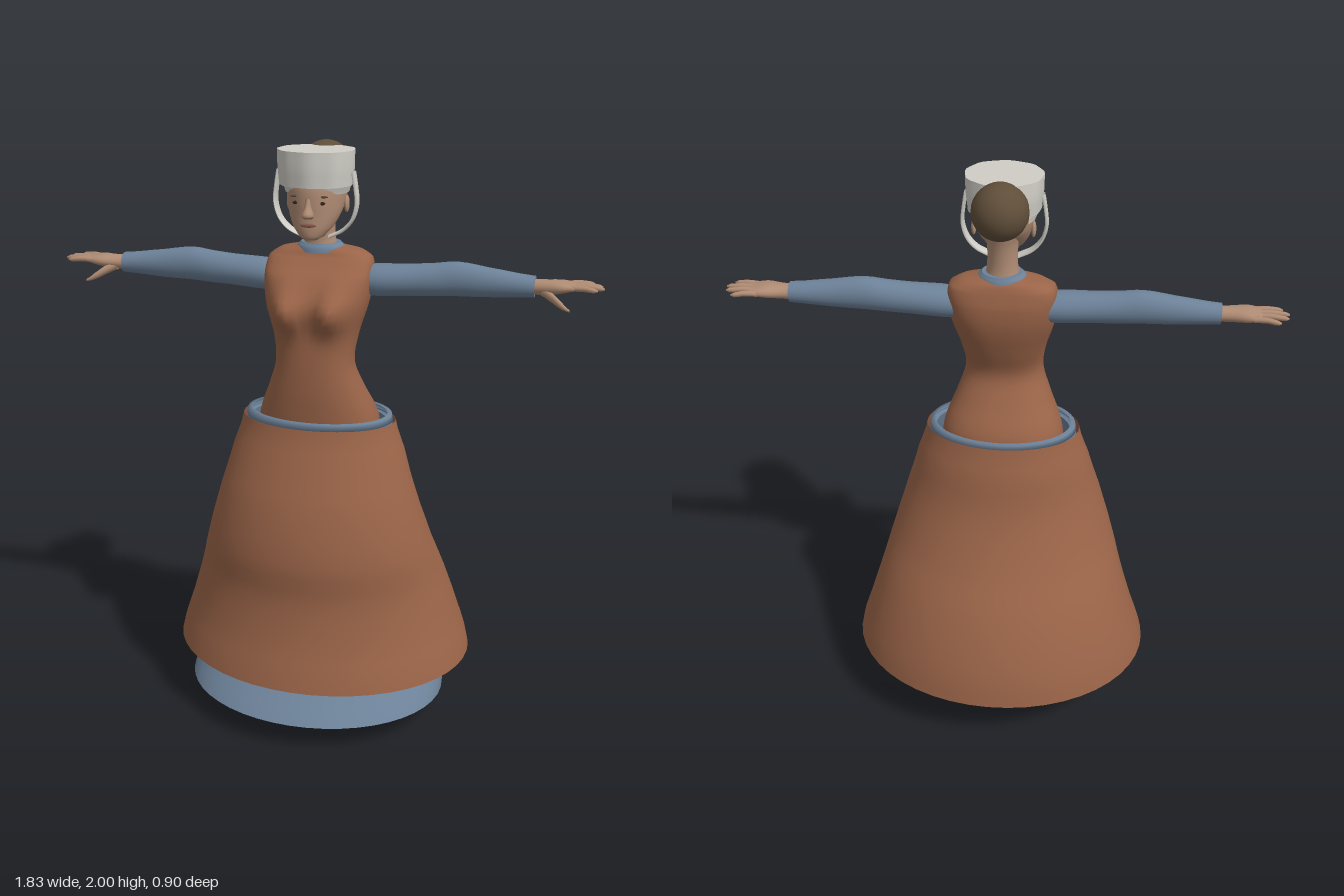
import * as THREE from 'three';

const mat = (name, color, side = THREE.FrontSide) => {
  const m = new THREE.MeshStandardMaterial({ color, side });
  m.name = name;
  return m;
};

// Smooth loft through superellipse sections [y, cx, cz, rx, rz, power], lowest first
function loft(rows, { seg = 32, sub = 3, cap = true, ripple = 0 } = {}) {
  const pos = [], idx = [], n = rows.length;
  const sample = (k, i, t) => {
    const p = (j) => rows[Math.max(0, Math.min(n - 1, j))][k] ?? 2;
    const a = p(i), b = p(i + 1);
    if (k === 0) return a + (b - a) * t;
    const m0 = (b - p(i - 1)) / 2, m1 = (p(i + 2) - a) / 2, t2 = t * t, t3 = t2 * t;
    return (2 * t3 - 3 * t2 + 1) * a + (t3 - 2 * t2 + t) * m0 + (3 * t2 - 2 * t3) * b + (t3 - t2) * m1;
  };
  const rings = [];
  for (let i = 0; i < n - 1; i++)
    for (let s = 0; s < sub; s++) rings.push([0, 1, 2, 3, 4, 5].map((k) => sample(k, i, s / sub)));
  rings.push([0, 1, 2, 3, 4, 5].map((k) => rows[n - 1][k] ?? 2));
  const addRing = ([y, cx, cz, rx, rz, e]) => {
    for (let j = 0; j < seg; j++) {
      const a = (j / seg) * Math.PI * 2, c = Math.cos(a), s = Math.sin(a);
      const w = 1 + ripple * Math.sin(a * 9);
      pos.push(cx + rx * w * Math.sign(c) * Math.abs(c) ** (2 / e), y, cz + rz * w * Math.sign(s) * Math.abs(s) ** (2 / e));
    }
  };
  rings.forEach(addRing);
  for (let r = 0; r < rings.length - 1; r++)
    for (let j = 0; j < seg; j++) {
      const a = r * seg + j, b = r * seg + ((j + 1) % seg);
      idx.push(a, a + seg, b, b, a + seg, b + seg);
    }
  if (cap)
    for (const [r, top] of [[rings[0], false], [rings[rings.length - 1], true]]) {
      const base = pos.length / 3;
      addRing(r);
      pos.push(r[1], r[0], r[2]);
      for (let j = 0; j < seg; j++) {
        const a = base + j, b = base + ((j + 1) % seg);
        idx.push(base + seg, top ? b : a, top ? a : b);
      }
    }
  const g = new THREE.BufferGeometry();
  g.setAttribute('position', new THREE.Float32BufferAttribute(pos, 3));
  g.setIndex(idx);
  g.computeVertexNormals();
  return g;
}

// Section given by front and back z on the centre line
const fb = (y, rx, front, back, e = 2) => [y, 0, (front + back) / 2, rx, (front - back) / 2, e];
// Loft running outward along +x: rows [x, y, z, halfHeight, halfDepth, power]
const loftX = (rows, o) => loft(rows.map(([x, y, z, h, d, e]) => [x, -y, z, h, d, e]), o).rotateZ(-Math.PI / 2);
// Loft running forward along +z: rows [z, x, y, halfWidth, halfHeight, power]
const loftZ = (rows, o) => loft(rows.map(([z, x, y, w, h, e]) => [z, x, -y, w, h, e]), o).rotateX(Math.PI / 2);

function flipX(geo) {
  const g = geo.clone().scale(-1, 1, 1), i = g.index.array;
  for (let k = 0; k < i.length; k += 3) [i[k], i[k + 1]] = [i[k + 1], i[k]];
  g.computeVertexNormals();
  return g;
}

export function createModel() {
  const model = new THREE.Group();
  model.name = 'womanInLongDress';
  const rust = mat('rustCloth', 0x9a6448, THREE.DoubleSide);
  const blue = mat('blueCloth', 0x6d8299, THREE.DoubleSide);
  const white = mat('whiteLinen', 0xcfcdc5, THREE.DoubleSide);
  const skin = mat('skin', 0xb08c74);
  const brown = mat('darkBrown', 0x5f4e39);
  const lip = mat('lips', 0x8f5f50);
  const eyeDark = mat('eyeDark', 0x33281f);

  const add = (name, geo, m) => {
    const mesh = new THREE.Mesh(geo, m);
    mesh.name = name;
    model.add(mesh);
  };
  const pair = (name, geo, m) => {
    add('left' + name, geo, m);
    add('right' + name, flipX(geo), m);
  };
  const ball = (x, y, z, rx, ry, rz) => new THREE.SphereGeometry(1, 24, 16).scale(rx, ry, rz).translate(x, y, z);

  // Overskirt with a bustle at the back
  add('overskirt', loft([
    fb(0.21, 0.535, 0.418, -0.45), fb(0.35, 0.493, 0.375, -0.415), fb(0.51, 0.443, 0.345, -0.345),
    fb(0.65, 0.4, 0.35, -0.262), fb(0.83, 0.345, 0.312, -0.182), fb(0.98, 0.3, 0.255, -0.15), fb(1.09, 0.265, 0.217, -0.12),
  ], { seg: 48, cap: false }), rust);

  // Underskirt, its hem swept forward, and the waistband
  add('underskirt', loft([
    fb(0.1, 0.46, 0.45, -0.285), fb(0.21, 0.44, 0.325, -0.345), fb(0.4, 0.405, 0.315, -0.33),
    fb(0.65, 0.35, 0.315, -0.235), fb(0.85, 0.31, 0.285, -0.165), fb(1.09, 0.25, 0.203, -0.114),
  ], { seg: 48, cap: false }), blue);
  add('waistband', loft([
    fb(1.085, 0.232, 0.19, -0.102), fb(1.086, 0.255, 0.21, -0.12), fb(1.108, 0.25, 0.206, -0.12), fb(1.109, 0.235, 0.194, -0.106),
  ], { seg: 48, sub: 1, cap: false }), blue);

  // Bodice, with the bust pushed forward by a smooth rule
  const bodice = loft([
    fb(1.06, 0.21, 0.185, -0.1, 2.2), fb(1.12, 0.198, 0.19, -0.09, 2.2), fb(1.2, 0.165, 0.195, -0.045, 2.2),
    fb(1.3, 0.132, 0.195, 0, 2.2), fb(1.4, 0.143, 0.19, -0.03, 2.3), fb(1.5, 0.17, 0.185, -0.06, 2.6),
    fb(1.58, 0.178, 0.155, -0.066, 3), fb(1.635, 0.172, 0.1, -0.055, 3), fb(1.66, 0.135, 0.082, -0.045, 2.6), fb(1.675, 0.07, 0.075, -0.03, 2),
  ], { seg: 48, sub: 4 });
  const p = bodice.attributes.position;
  for (let i = 0; i < p.count; i++) {
    const x = Math.abs(p.getX(i)), y = p.getY(i), z = p.getZ(i);
    if (z > 0.07) p.setZ(i, z + 0.065 * Math.exp(-(((x - 0.075) / 0.055) ** 2) - ((y - 1.485) / 0.065) ** 2));
  }
  bodice.computeVertexNormals();
  add('bodice', bodice, rust);
  add('collar', loft([fb(1.655, 0.08, 0.092, -0.045), fb(1.672, 0.078, 0.088, -0.04), fb(1.684, 0.066, 0.08, -0.034)]), blue);

  // Sleeves
  pair('Sleeve', loftX([
    [0.14, 1.565, 0.025, 0.05, 0.055], [0.2, 1.567, 0.027, 0.053, 0.058], [0.3, 1.572, 0.024, 0.052, 0.052],
    [0.38, 1.577, 0.022, 0.054, 0.048], [0.45, 1.583, 0.02, 0.056, 0.045], [0.55, 1.578, 0.02, 0.048, 0.041], [0.7, 1.573, 0.02, 0.034, 0.036],
  ], { seg: 24 }), blue);

  // Hands
  pair('Palm', loftX([
    [0.68, 1.573, 0.02, 0.025, 0.027], [0.73, 1.574, 0.022, 0.024, 0.034],
    [0.78, 1.578, 0.02, 0.02, 0.046, 2.4], [0.825, 1.58, 0.015, 0.011, 0.044, 2.6],
  ], { seg: 20 }), skin);
  [[-0.022, -0.036, 0.885], [0.004, -0.003, 0.91], [0.026, 0.025, 0.915], [0.047, 0.054, 0.895]].forEach(([z0, z1, tip], i) =>
    pair('Finger' + (i + 1), loftX([
      [0.8, 1.58, z0, 0.01, 0.011], [(0.8 + tip) / 2, 1.582, (z0 + z1) / 2, 0.0095, 0.01],
      [tip - 0.012, 1.579, z1, 0.008, 0.008], [tip, 1.578, z1, 0.003, 0.003],
    ], { seg: 10 }), skin));
  pair('Thumb', loftX([
    [0.72, 1.565, 0.035, 0.016, 0.016], [0.76, 1.548, 0.06, 0.015, 0.014],
    [0.79, 1.53, 0.078, 0.011, 0.011], [0.815, 1.518, 0.088, 0.004, 0.005],
  ], { seg: 10 }), skin);

  // Neck, head and face
  add('neck', loft([fb(1.64, 0.062, 0.085, -0.03), fb(1.7, 0.05, 0.078, -0.02), fb(1.78, 0.05, 0.09, -0.025), fb(1.84, 0.06, 0.09, -0.04)]), skin);
  add('head', loft([
    fb(1.712, 0.022, 0.17, 0.125), fb(1.722, 0.04, 0.18, 0.09), fb(1.75, 0.064, 0.183, 0.045), fb(1.79, 0.083, 0.182, 0),
    fb(1.83, 0.093, 0.183, -0.04), fb(1.88, 0.097, 0.18, -0.055), fb(1.93, 0.085, 0.16, -0.04),
  ]), skin);
  add('nose', loft([fb(1.783, 0.016, 0.196, 0.16), fb(1.793, 0.02, 0.214, 0.16), fb(1.815, 0.012, 0.2, 0.16), fb(1.845, 0.008, 0.187, 0.16)], { seg: 12 }), skin);
  add('mouth', ball(0, 1.762, 0.182, 0.026, 0.007, 0.004), lip);
  pair('Eye', ball(0.038, 1.83, 0.169, 0.015, 0.006, 0.004).rotateY(0), eyeDark);
  pair('Brow', ball(0.04, 1.85, 0.168, 0.022, 0.004, 0.004), brown);
  pair('Ear', ball(0.095, 1.815, 0.06, 0.008, 0.028, 0.018), skin);

  // Hair bun and cap with its chin straps
  add('hairBun', ball(0, 1.91, -0.042, 0.09, 0.09, 0.09), brown);
  add('capBand', loft([fb(1.853, 0.102, 0.17, -0.035), fb(1.885, 0.112, 0.18, -0.035)]), white);
  add('capCrown', loft([fb(1.877, 0.117, 0.188, -0.03, 2.1), fb(1.93, 0.122, 0.191, -0.035, 2.1), fb(1.986, 0.123, 0.19, -0.03, 2.1)], { seg: 54, ripple: 0.014 }), white);
  const path = new THREE.CatmullRomCurve3([[0.122, 1.92], [0.13, 1.87], [0.134, 1.82], [0.12, 1.77], [0.09, 1.735], [0.045, 1.712]]
    .map(([x, y]) => new THREE.Vector3(x, y, 0)));
  pair('ChinStrap', new THREE.TubeGeometry(path, 24, 0.006, 8).scale(1, 1, 3.8).translate(0, 0, 0.085), white);

  // Legs and shoes
  pair('Leg', loft([
    [0.04, 0.135, -0.025, 0.034, 0.036], [0.12, 0.133, -0.025, 0.033, 0.036], [0.3, 0.126, -0.03, 0.05, 0.056],
    [0.5, 0.115, -0.005, 0.05, 0.053], [0.75, 0.105, 0.02, 0.072, 0.078], [1.05, 0.1, 0.04, 0.088, 0.1],
  ], { seg: 20 }), skin);
  pair('Shoe', loftZ([
    [-0.063, 0.132, 0.035, 0.018, 0.02], [-0.045, 0.132, 0.038, 0.038, 0.033, 2.6], [0.01, 0.133, 0.042, 0.043, 0.037, 2.6],
    [0.09, 0.136, 0.036, 0.052, 0.031, 2.5], [0.16, 0.14, 0.031, 0.061, 0.026, 2.5], [0.205, 0.142, 0.028, 0.05, 0.021, 2.4], [0.226, 0.142, 0.025, 0.022, 0.012],
  ], { seg: 24 }), brown);
  pair('ShoeAnkle', loft([[0.04, 0.134, -0.02, 0.044, 0.046], [0.08, 0.134, -0.022, 0.04, 0.042]], { seg: 20 }), brown);

  return model;
}
